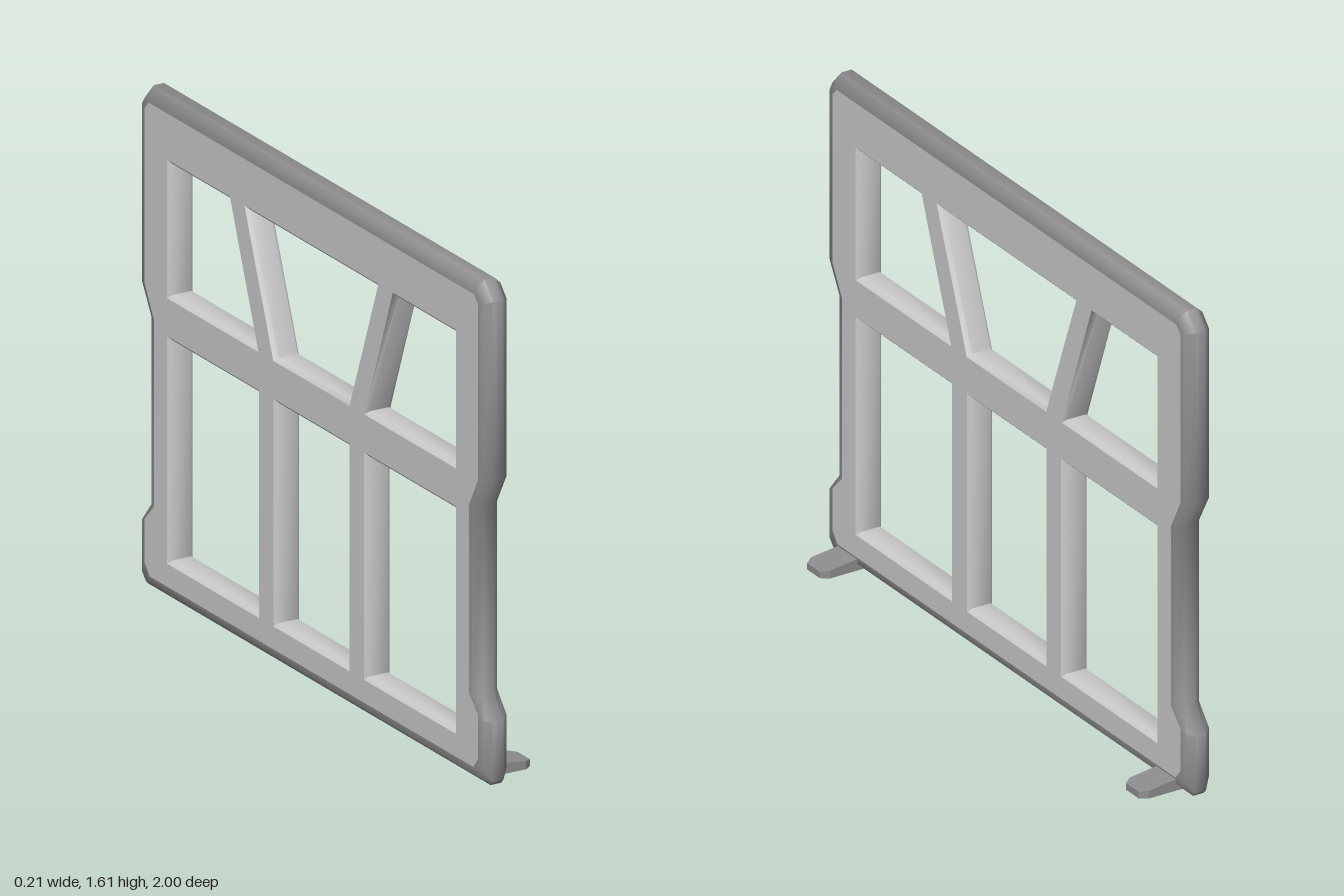
import * as THREE from 'three';
import { toCreasedNormals } from 'three/addons/utils/BufferGeometryUtils.js';

const HALF = 0.045; // half thickness of the panel

// Skin between successive loops of [x, y] points, each at its own depth
function loft(levels) {
  const pos = [], idx = [], n = levels[0].loop.length;
  for (const { loop, depth } of levels) for (const [x, y] of loop) pos.push(x, y, depth);
  for (let k = 0; k < levels.length - 1; k++) {
    for (let i = 0; i < n; i++) {
      const a = k * n + i, b = k * n + (i + 1) % n;
      idx.push(a, a + n, b + n, a, b + n, b);
    }
  }
  const g = new THREE.BufferGeometry();
  g.setAttribute('position', new THREE.Float32BufferAttribute(pos, 3));
  g.setIndex(idx);
  return toCreasedNormals(g, 0.9);
}

const vectors = (loop) => loop.map(([x, y]) => new THREE.Vector2(x, y));
const mirror = (loop) => loop.map(([x, y]) => [-x, y]).reverse();
const blend = (a, b, t) => a.map(([x, y], i) => [x + (b[i][0] - x) * t, y + (b[i][1] - y) * t]);

export function createModel() {
  const group = new THREE.Group();
  const light = new THREE.MeshStandardMaterial({ color: 0xcacaca });
  light.name = 'light grey';
  const dark = new THREE.MeshStandardMaterial({ color: 0x8e8e8e });
  dark.name = 'dark grey';

  const panel = new THREE.Group();
  panel.name = 'panel';
  panel.rotation.y = -Math.PI / 2;
  panel.position.x = -0.06;
  group.add(panel);
  const add = (parent, geometry, material, name) => {
    const mesh = new THREE.Mesh(geometry, material);
    mesh.name = name;
    parent.add(mesh);
    return mesh;
  };

  // Waisted outline, and the inner edge of its bevel
  const outerHalf = [[0.985, 0], [1, 0.015], [1, 0.2], [0.942, 0.28],
    [0.942, 0.88], [1, 0.98], [1, 1.55], [0.95, 1.605]];
  const innerHalf = [[0.93, 0.045], [0.958, 0.08], [0.958, 0.22], [0.905, 0.275],
    [0.905, 0.875], [0.958, 0.975], [0.958, 1.535], [0.935, 1.56]];
  const outer = [...outerHalf, ...mirror(outerHalf)];
  const inner = [...innerHalf, ...mirror(innerHalf)];
  const middle = blend(outer, inner, 0.5);
  add(panel, loft([
    { loop: inner, depth: HALF }, { loop: middle, depth: 0.042 }, { loop: outer, depth: 0.018 },
    { loop: outer, depth: -0.018 }, { loop: middle, depth: -0.042 }, { loop: inner, depth: -HALF },
  ]), dark, 'rim');

  // Window openings, clockwise
  const lowerSide = [[0.313, 0.13], [0.313, 0.835], [0.818, 0.835], [0.818, 0.13]];
  const upperSide = [[0.316, 0.98], [0.48, 1.4], [0.818, 1.4], [0.818, 0.98]];
  const openings = [
    lowerSide, mirror(lowerSide), upperSide, mirror(upperSide),
    [[-0.207, 0.13], [-0.207, 0.835], [0.207, 0.835], [0.207, 0.13]],
    [[-0.207, 0.98], [-0.373, 1.4], [0.373, 1.4], [0.207, 0.98]],
  ];

  // Opening walls with a small softened edge
  const edge = 0.012;
  const flared = openings.map((loop) => {
    const cx = loop.reduce((s, p) => s + p[0], 0) / 4;
    const cy = loop.reduce((s, p) => s + p[1], 0) / 4;
    return loop.map(([x, y]) => [x + Math.sign(x - cx) * edge, y + Math.sign(y - cy) * edge]);
  });
  openings.forEach((loop, i) => add(panel, loft([
    { loop: flared[i], depth: HALF }, { loop, depth: HALF - edge },
    { loop, depth: edge - HALF }, { loop: flared[i], depth: -HALF },
  ]), light, 'openingWall'));

  // Flat faces on both sides
  const shape = new THREE.Shape(vectors(inner));
  flared.forEach((loop) => shape.holes.push(new THREE.Path(vectors(loop))));
  for (const side of [1, -1]) {
    const face = add(panel, new THREE.ShapeGeometry(shape), light, 'panelFace');
    face.position.z = side * HALF;
    if (side < 0) face.rotation.y = Math.PI; // the outline is symmetric
  }

  // Two tapering feet on the +x side
  const plan = new THREE.Shape(vectors([[-0.06, -0.053], [0.08, -0.053], [0.105, -0.035],
    [0.105, 0.035], [0.08, 0.053], [-0.06, 0.053]]));
  const footGeometry = new THREE.ExtrudeGeometry(plan, { depth: 1, bevelEnabled: false });
  footGeometry.rotateX(-Math.PI / 2);
  const p = footGeometry.attributes.position;
  for (let i = 0; i < p.count; i++) {
    if (p.getY(i) > 0.5) p.setY(i, 0.045 - Math.max(0, p.getX(i) + 0.015) * 0.19);
    else p.setY(i, 0.001);
  }
  footGeometry.computeVertexNormals();
  for (const side of [1, -1]) {
    add(group, footGeometry, dark, 'foot').position.z = side * 0.877;
  }
  return group;
}
